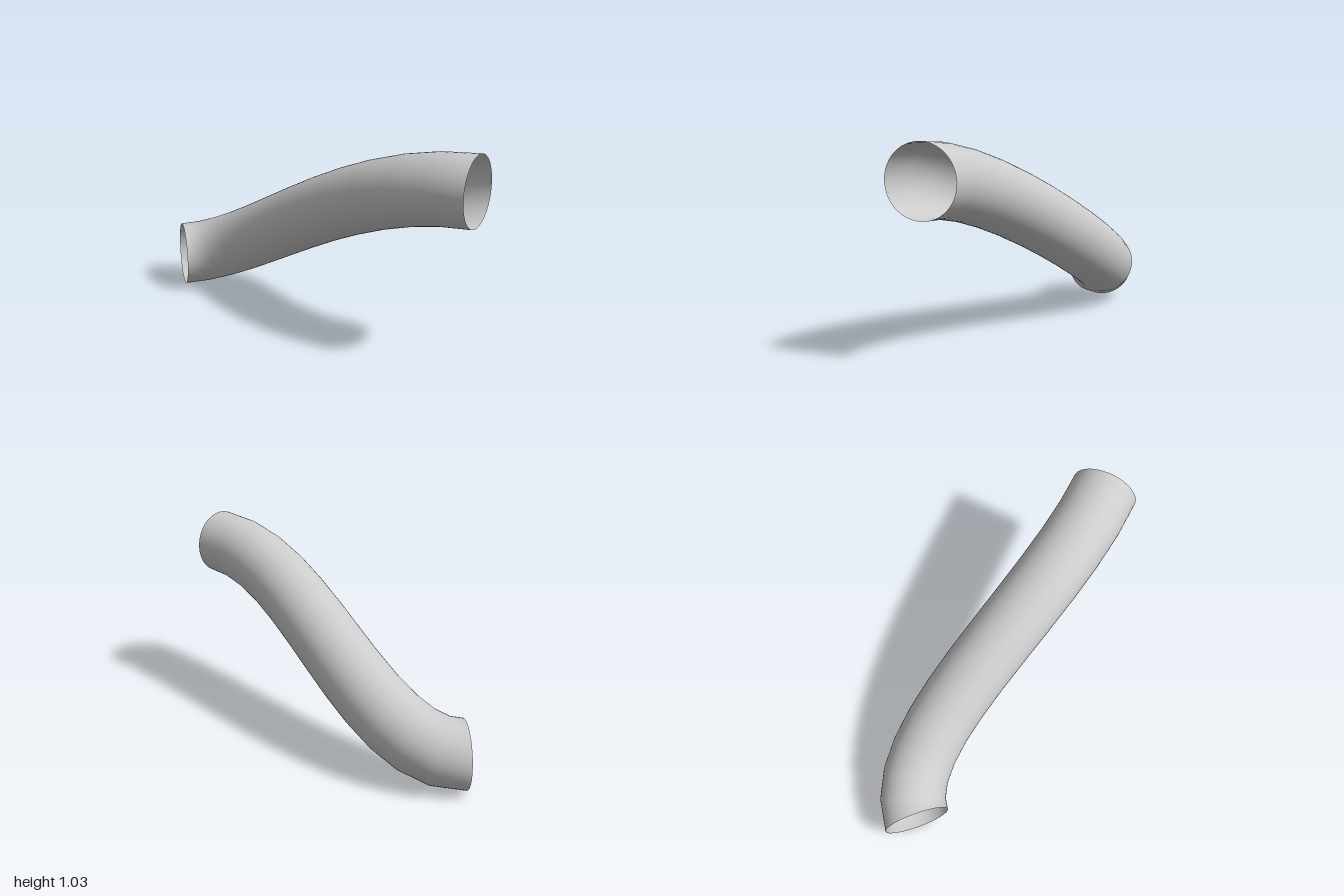
import * as THREE from 'three';

const RADIUS = 0.175;
const STEPS = 12;
const SIDES = 48;

export function createModel() {
  const group = new THREE.Group();
  group.name = 'bentPipe';

  // Centre line: leaves the low end at 45 degrees, arrives level along +x
  const path = new THREE.CubicBezierCurve3(
    new THREE.Vector3(-0.875, 0.176, -0.06),
    new THREE.Vector3(-0.525, 0.176, -0.41),
    new THREE.Vector3(0.287, 0.853, 0.168),
    new THREE.Vector3(1, 0.853, 0.168)
  );
  // Space the rings by curve parameter, so they sit closer in the tight bend
  path.getPointAt = path.getPoint;
  path.getTangentAt = path.getTangent;

  // Thin pipe wall, open at both ends
  const pipe = new THREE.Mesh(
    new THREE.TubeGeometry(path, STEPS, RADIUS, SIDES, false),
    new THREE.MeshStandardMaterial({ color: 0xcccccc, side: THREE.DoubleSide })
  );
  pipe.name = 'pipe';
  group.add(pipe);
  return group;
}
